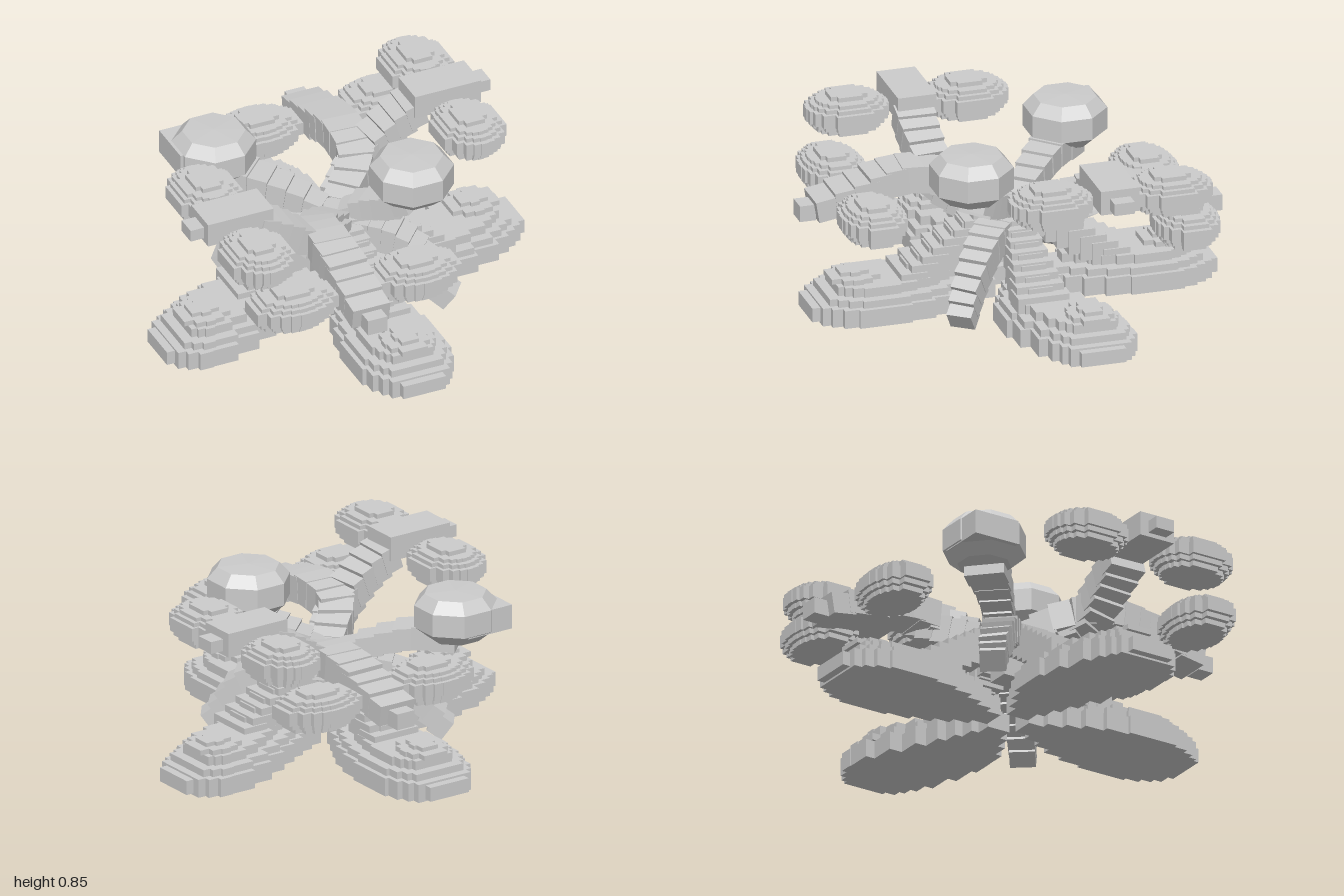
import * as THREE from 'three';

const mat = new THREE.MeshStandardMaterial({ color: 0xcccccc, flatShading: true });

function add(parent, geo, name) {
  const mesh = new THREE.Mesh(geo, mat);
  mesh.name = name;
  parent.add(mesh);
  return mesh;
}

function box(parent, name, w, h, d, x, y, z) {
  const mesh = add(parent, new THREE.BoxGeometry(w, h, d), name);
  mesh.position.set(x, y, z);
  return mesh;
}

// Horizontal slab with a staircase outline; steps are [x0, x1, half width, centre z]
function slab(parent, name, steps, y0, y1) {
  const shape = new THREE.Shape();
  const [first] = steps;
  shape.moveTo(first[0], -first[2] - (first[3] ?? 0));
  for (const [a, b, w, c = 0] of steps) { shape.lineTo(a, -w - c); shape.lineTo(b, -w - c); }
  for (const [a, b, w, c = 0] of [...steps].reverse()) { shape.lineTo(b, w - c); shape.lineTo(a, w - c); }
  const geo = new THREE.ExtrudeGeometry(shape, { depth: y1 - y0, bevelEnabled: false });
  geo.rotateX(-Math.PI / 2);
  geo.translate(0, y0, 0);
  return add(parent, geo, name);
}

// Stepped oval with radii rx, rz
function ovalSteps(rx, rz, n = 9) {
  const steps = [];
  for (let i = 0; i < n; i++) {
    const t = (2 * (i + 0.5)) / n - 1;
    steps.push([rx * ((2 * i) / n - 1), rx * ((2 * (i + 1)) / n - 1), rz * Math.sqrt(1 - t * t)]);
  }
  return steps;
}

// Overlapping blocks that follow a curve; sizes blend from [w, h] to [w, h]
function chain(parent, name, points, n, from, to) {
  const curve = new THREE.CatmullRomCurve3(points.map(p => new THREE.Vector3(...p)));
  const len = (curve.getLength() / n) * 1.3;
  for (let i = 0; i < n; i++) {
    const t = (i + 0.5) / n, p = curve.getPointAt(t), d = curve.getTangentAt(t);
    const w = THREE.MathUtils.lerp(from[0], to[0], t), h = THREE.MathUtils.lerp(from[1], to[1], t);
    const b = box(parent, name, w, h, len, p.x, p.y, p.z);
    b.lookAt(p.x + d.x, p.y + d.y * 0.5, p.z + d.z);
  }
}

// Broad ground leaf along +x with an arched stepped stalk; its inner end is offset in z by bend
function groundLeaf(bend) {
  const g = new THREE.Group();
  g.name = 'groundLeaf';
  const outline = [
    [0.08, 0.16, 0.06], [0.16, 0.24, 0.1], [0.24, 0.32, 0.14], [0.32, 0.42, 0.18], [0.42, 0.54, 0.21],
    [0.54, 0.67, 0.23], [0.67, 0.8, 0.23], [0.8, 0.87, 0.21], [0.87, 0.92, 0.18], [0.92, 0.96, 0.15],
  ];
  const inset = (k, mid) => outline.map(([a, b, w]) => {
    const x0 = mid + (a - mid) * k, x1 = mid + (b - mid) * k;
    return [x0, x1, w * k, bend * (1 - THREE.MathUtils.smoothstep((x0 + x1) / 2, 0.3, 0.9))];
  });
  slab(g, 'leafBase', inset(1, 0), 0.01, 0.1);
  slab(g, 'leafTip', [[0.9, 1, 0.11]], 0.02, 0.09);
  slab(g, 'leafMiddle', inset(0.9, 0.56), 0.1, 0.135);
  slab(g, 'leafUpper', inset(0.7, 0.66), 0.135, 0.18);
  slab(g, 'leafCrown', ovalSteps(0.12, 0.11, 5), 0.18, 0.205).position.x = 0.77;
  slab(g, 'leafCrownTop', ovalSteps(0.07, 0.06, 3), 0.205, 0.225).position.x = 0.77;
  for (let i = 0; i < 7; i++) {
    const r = 0.5 - i * 0.055, y = 0.15 + i * 0.035;
    box(g, 'leafStalkStep', 0.13, 0.12, 0.25 - i * 0.018, r, y, bend);
    box(g, 'leafStalkRidge', 0.1, 0.12, 0.12, r - 0.03, y + 0.025, bend);
  }
  return g;
}

// Hovering oval pad made of stacked layers
function pad(parent, x, y, z, rx, rz) {
  const g = new THREE.Group();
  g.name = 'pad';
  g.position.set(x, y, z);
  const layers = [[0.78, -0.085, -0.06], [0.9, -0.06, -0.035], [1, -0.035, 0.03], [0.88, 0.03, 0.05], [0.75, 0.05, 0.068]];
  for (const [k, a, b] of layers) slab(g, 'padLayer', ovalSteps(rx * k, rz * k), a, b);
  box(g, 'padTop', rx * 0.9, 0.03, rz * 0.6, 0, 0.075, 0);
  box(g, 'padTop', rx * 0.6, 0.03, rz * 0.9, 0, 0.075, 0);
  parent.add(g);
}

// The half that repeats after a half turn
function half() {
  const g = new THREE.Group();
  g.name = 'half';

  // ground leaves
  const side = groundLeaf(0.16);
  side.position.z = -0.16;
  const end = groundLeaf(0);
  end.rotation.y = Math.PI / 2;
  g.add(side, end);

  // high arm towards +x with a pad on each flank
  chain(g, 'highArm', [[0.06, 0.42, -0.12], [0.25, 0.52, -0.27], [0.42, 0.65, -0.3], [0.55, 0.73, -0.3]], 9, [0.15, 0.14], [0.19, 0.12]);
  box(g, 'highArmEnd', 0.34, 0.12, 0.19, 0.67, 0.775, -0.29);
  box(g, 'highArmTip', 0.08, 0.06, 0.1, 0.87, 0.765, -0.29);
  for (const s of [-1, 1]) pad(g, 0.68, 0.735, -0.29 + s * 0.295, 0.16, 0.2);

  // low arm towards -z, arching over and sloping down, with a pad on each flank
  chain(g, 'lowArm', [[0.05, 0.42, -0.06], [0.2, 0.53, -0.22], [0.23, 0.57, -0.42], [0.23, 0.54, -0.62]], 8, [0.15, 0.14], [0.2, 0.13]);
  chain(g, 'lowArmEnd', [[0.23, 0.53, -0.6], [0.23, 0.5, -0.75], [0.23, 0.46, -0.88]], 3, [0.2, 0.13], [0.19, 0.1]);
  box(g, 'lowArmTip', 0.1, 0.08, 0.08, 0.23, 0.45, -0.93);
  for (const s of [-1, 1]) pad(g, 0.23 + s * 0.32, 0.505, -0.7, 0.21, 0.155);

  // drooping root
  const rootPath = [[0.08, 0.38, 0.06], [0.21, 0.36, 0.17], [0.31, 0.27, 0.26], [0.37, 0.16, 0.32], [0.42, 0.07, 0.36]];
  chain(g, 'root', rootPath, 9, [0.17, 0.14], [0.12, 0.1]);
  return g;
}

// Flaring eight-sided bud on a stepped stalk
function bud(name, x, y, z, stalk) {
  const g = new THREE.Group();
  g.name = name;
  chain(g, 'budStalk', [[0, 0.4, 0], ...stalk, [x, y - 0.1, z]], 7, [0.1, 0.09], [0.2, 0.12]);
  const profile = [[0, -0.11], [0.13, -0.11], [0.2, -0.05], [0.2, 0.06], [0.15, 0.115], [0, 0.12]];
  const body = add(g, new THREE.LatheGeometry(profile.map(p => new THREE.Vector2(...p)), 8), 'budBody');
  body.rotation.y = Math.PI / 8;
  body.position.set(x, y, z);
  return g;
}

export function createModel() {
  const model = new THREE.Group();
  model.name = 'plant';

  const first = half(), second = half();
  second.rotation.y = Math.PI;
  model.add(first, second);

  // central stem
  box(model, 'stem', 0.12, 0.26, 0.12, 0, 0.36, 0);
  box(model, 'stemCollar', 0.24, 0.12, 0.24, 0, 0.4, 0);

  // front and back buds
  model.add(bud('frontBud', 0.27, 0.735, 0.265, [[0.1, 0.5, 0.07], [0.22, 0.57, 0.2]]));
  model.add(bud('backBud', -0.44, 0.66, -0.42, [[-0.12, 0.48, -0.12], [-0.3, 0.55, -0.28]]));
  box(model, 'backBudTip', 0.25, 0.12, 0.24, -0.515, 0.66, -0.48);
  return model;
}
